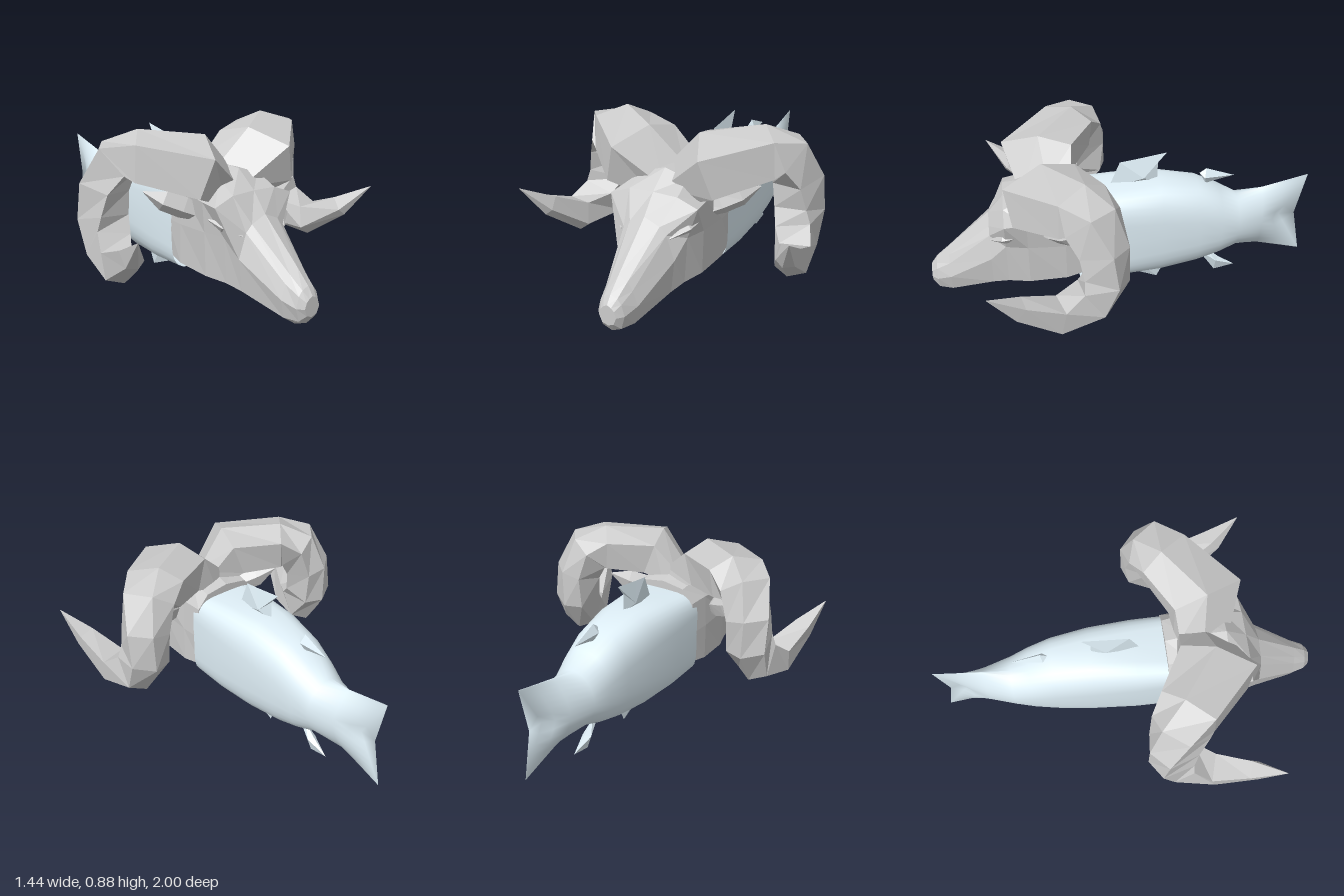
import * as THREE from 'three';

const V = (x, y, z) => new THREE.Vector3(x, y, z);
const grey = new THREE.MeshStandardMaterial({ color: 0xcccccc, flatShading: true });
const scale = new THREE.MeshStandardMaterial({ color: 0xe0f0f8, side: THREE.DoubleSide });

// Skin over rings of points, each counter-clockwise about the direction of travel.
function loft(rings, capEnd = true) {
  const n = rings[0].length, pts = rings.flat(), index = [];
  for (let i = 0; i < rings.length - 1; i++) {
    for (let j = 0; j < n; j++) {
      const k = (j + 1) % n, a = i * n + j, b = i * n + k;
      index.push(a, b, b + n, a, b + n, a + n);
    }
  }
  const cap = (r, flip) => {
    const c = pts.length, o = r * n;
    pts.push(rings[r].reduce((s, p) => s.add(p), V(0, 0, 0)).divideScalar(n));
    for (let j = 0; j < n; j++) {
      const k = (j + 1) % n;
      index.push(c, o + (flip ? k : j), o + (flip ? j : k));
    }
  };
  cap(0, true);
  if (capEnd) cap(rings.length - 1, false);
  const g = new THREE.BufferGeometry().setFromPoints(pts);
  g.setIndex(index);
  g.computeVertexNormals();
  return g;
}

const mirror = rings => rings.map(r => r.map(p => V(-p.x, p.y, p.z)).reverse());

function add(parent, name, geometry, material = grey) {
  const m = new THREE.Mesh(geometry, material);
  m.name = name;
  parent.add(m);
  return m;
}

function addPair(parent, name, rings) {
  add(parent, 'left' + name, loft(rings));
  add(parent, 'right' + name, loft(mirror(rings)));
}

// Carries a [lateral, radial] profile along a path; each station is [x, y, z, lateral size, radial size].
function sweep(stations, profile, refAt) {
  const c = stations.map(s => V(s[0], s[1], s[2]));
  return stations.map((s, i) => {
    const T = c[Math.min(i + 1, c.length - 1)].clone().sub(c[Math.max(i - 1, 0)]).normalize();
    const ref = refAt(i / (c.length - 1));
    const U = ref.addScaledVector(T, -ref.dot(T)).normalize();
    const W = T.clone().cross(U);
    return profile.map(([u, w]) => c[i].clone().addScaledVector(U, u * s[3]).addScaledVector(W, w * s[4]));
  });
}

// Flat fin with a swollen middle at [z, y]; outline points are [z, y].
function fin(outline, mid, t) {
  const n = outline.length;
  const pts = outline.map(([z, y]) => V(0, y, z));
  pts.push(V(t, mid[1], mid[0]), V(-t, mid[1], mid[0]));
  const index = [];
  for (let j = 0; j < n; j++) {
    const k = (j + 1) % n;
    index.push(n, k, j, n + 1, j, k);
  }
  let g = new THREE.BufferGeometry().setFromPoints(pts);
  g.setIndex(index);
  g = g.toNonIndexed();
  g.computeVertexNormals();
  return g;
}

function buildHead() {
  const head = new THREE.Group();
  head.name = 'ramHead';

  // Skull: z, bottom y, top y, then half outline [x, y] of jaw, cheek, temple, brow
  const sections = [
    [0.18, 0.18, 0.66, [0.18, 0.22], [0.19, 0.40], [0.18, 0.57], [0.12, 0.64]],
    [0.30, 0.14, 0.69, [0.20, 0.20], [0.20, 0.40], [0.19, 0.57], [0.13, 0.66]],
    [0.49, 0.105, 0.69, [0.195, 0.19], [0.205, 0.41], [0.22, 0.56], [0.12, 0.655]],
    [0.60, 0.10, 0.605, [0.16, 0.18], [0.18, 0.41], [0.235, 0.56], [0.13, 0.60]],
    [0.68, 0.09, 0.51, [0.135, 0.16], [0.155, 0.32], [0.115, 0.44], [0.08, 0.475]],
    [0.90, 0.04, 0.315, [0.075, 0.09], [0.095, 0.18], [0.07, 0.25], [0.045, 0.29]],
    [0.97, 0.07, 0.25, [0.05, 0.09], [0.07, 0.155], [0.055, 0.21], [0.035, 0.235]],
    [1.00, 0.11, 0.21, [0.03, 0.12], [0.045, 0.155], [0.035, 0.185], [0.02, 0.20]],
  ];
  add(head, 'skull', loft(sections.map(([z, bottom, top, ...half]) => [
    V(0, bottom, z), ...half.map(([x, y]) => V(x, y, z)),
    V(0, top, z), ...half.map(([x, y]) => V(-x, y, z)).reverse(),
  ])));

  // Curled horns: flat front and inner faces, a ridge along the outside of the curl
  const hornProfile = [[1.08, 0.85], [-0.85, 0.8], [-1, -0.5], [-0.15, -1], [1, -0.65]];
  const horn = [
    [0.01, 0.62, 0.36, 0.14, 0.075],
    [0.18, 0.73, 0.395, 0.19, 0.13],
    [0.40, 0.765, 0.225, 0.145, 0.115],
    [0.475, 0.74, 0.17, 0.125, 0.115],
    [0.525, 0.61, 0.13, 0.105, 0.11],
    [0.535, 0.46, 0.13, 0.1, 0.11],
    [0.55, 0.34, 0.205, 0.09, 0.11],
    [0.60, 0.30, 0.37, 0.075, 0.085],
    [0.655, 0.405, 0.555, 0.045, 0.055],
    [0.718, 0.523, 0.69, 0.001, 0.001],
  ];
  addPair(head, 'Horn', sweep(horn, hornProfile, t => V(0.6 + 0.4 * t, 0, 0.8 * Math.max(0, 1 - 1.3 * t))));

  // Leaf-shaped ears
  const diamond = [[1, 0], [0, 1], [-1, 0], [0, -1]];
  const ear = [
    [0.16, 0.47, 0.40, 0.04, 0.03],
    [0.23, 0.505, 0.36, 0.06, 0.04],
    [0.31, 0.54, 0.31, 0.055, 0.035],
    [0.385, 0.585, 0.25, 0.003, 0.003],
  ];
  addPair(head, 'Ear', sweep(ear, diamond, () => V(0, 1, 0.3)));

  // Eyes: tapering ridges under the brow
  const eye = [
    [0.215, 0.485, 0.53, 0.004, 0.004],
    [0.19, 0.465, 0.605, 0.026, 0.022],
    [0.13, 0.425, 0.675, 0.004, 0.004],
  ];
  addPair(head, 'Eye', sweep(eye, diamond, () => V(0, 1, 0)));

  // Nose pad and lower lip
  const nose = add(head, 'nose', new THREE.OctahedronGeometry(1));
  nose.scale.set(0.055, 0.045, 0.03);
  nose.position.set(0, 0.195, 0.97);
  const lip = add(head, 'lowerLip', new THREE.CylinderGeometry(0.055, 0.03, 0.035, 8));
  lip.position.set(0, 0.085, 0.925);
  return head;
}

function buildFish() {
  const fish = new THREE.Group();
  fish.name = 'fishBody';

  // Body and tail: z at the middle, z at the edges, bottom y, top y, half width, edge sharpness
  const sections = [
    [-0.865, -1.0, 0.12, 0.602, 0.003, 1.2],
    [-0.82, -0.89, 0.148, 0.574, 0.045, 2.6],
    [-0.75, -0.76, 0.18, 0.542, 0.078, 2.0],
    [-0.62, -0.62, 0.21, 0.51, 0.122, 0.95],
    [-0.52, -0.52, 0.175, 0.565, 0.145, 0.82],
    [-0.40, -0.40, 0.145, 0.62, 0.165, 0.75],
    [-0.20, -0.20, 0.12, 0.65, 0.184, 0.65],
    [0.02, 0.02, 0.12, 0.635, 0.194, 0.53],
    [0.215, 0.23, 0.135, 0.61, 0.193, 0.42],
  ];
  const sides = 32;
  const power = (v, p) => Math.sign(v) * Math.abs(v) ** p;
  const rings = sections.map(([zc, zt, y0, y1, w, p]) => Array.from({ length: sides }, (_, j) => {
    const a = j / sides * Math.PI * 2, c = Math.cos(a), s = Math.sin(a);
    const y = (y0 + y1) / 2 + power(s, Math.min(p, 1)) * (y1 - y0) / 2;
    return V(w * power(c, p), y, zc + (zt - zc) * Math.abs(s));
  }));
  add(fish, 'bodyAndTail', loft(rings, false), scale);

  // Fins along the back and belly: swollen point, then outline
  const fins = {
    frontDorsalFin: [[-0.12, 0.66], [0.06, 0.60], [0.0, 0.75], [-0.08, 0.762], [-0.24, 0.79], [-0.195, 0.735], [-0.195, 0.63]],
    rearDorsalFin: [[-0.44, 0.635], [-0.45, 0.59], [-0.415, 0.655], [-0.45, 0.68], [-0.598, 0.628], [-0.48, 0.60]],
    bellyFin: [[-0.12, 0.10], [0.10, 0.13], [0.02, 0.09], [-0.205, 0.0], [-0.25, 0.10], [-0.20, 0.14]],
    analFin: [[-0.53, 0.09], [-0.43, 0.16], [-0.53, 0.015], [-0.64, 0.04], [-0.55, 0.10], [-0.48, 0.16]],
  };
  for (const [name, [mid, ...outline]] of Object.entries(fins)) add(fish, name, fin(outline, mid, 0.025), scale);
  return fish;
}

export function createModel() {
  const model = new THREE.Group();
  model.name = 'ramHeadedFish';
  model.add(buildHead(), buildFish());
  return model;
}
